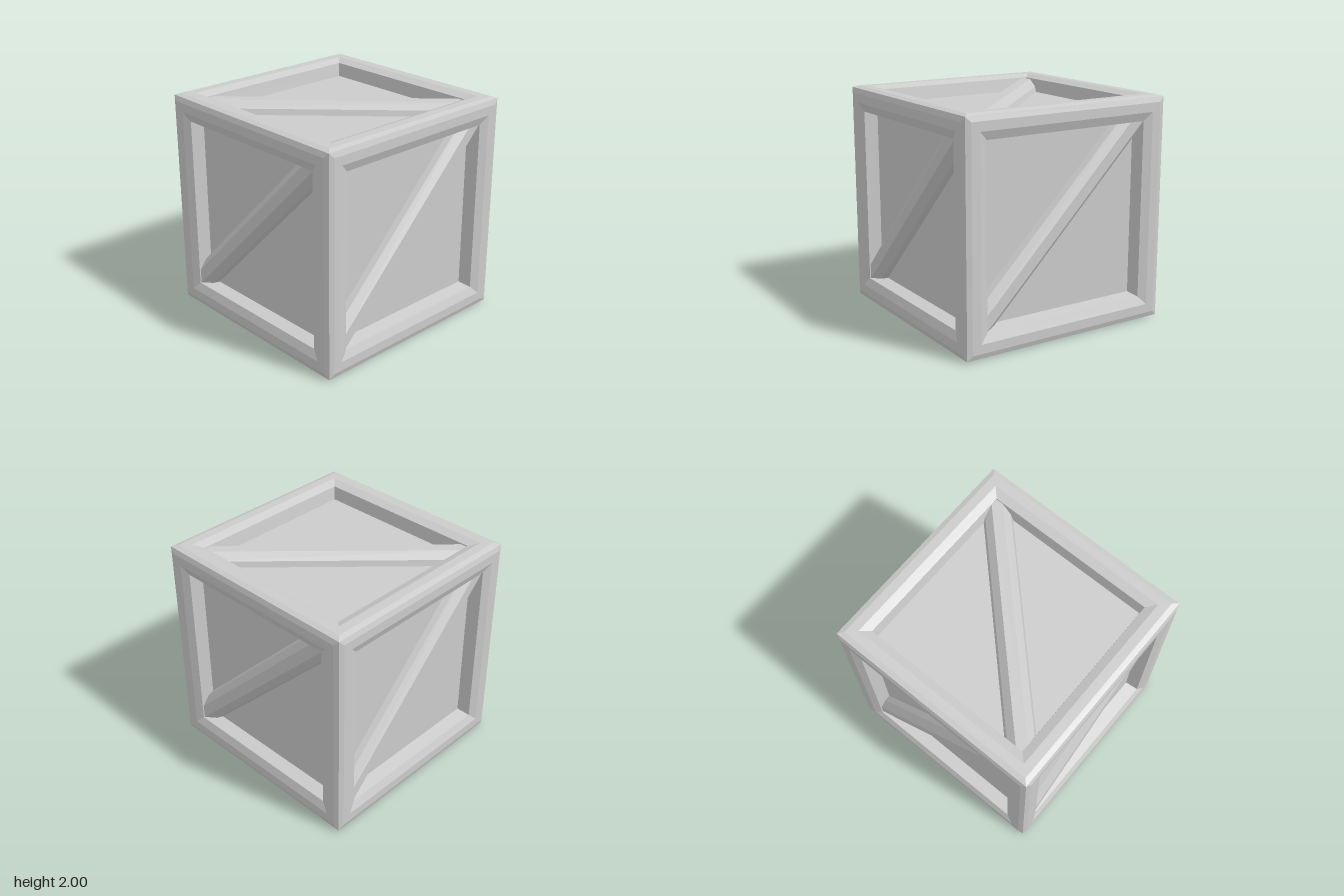
import * as THREE from 'three';

const material = new THREE.MeshStandardMaterial({ color: 0xcccccc, flatShading: true });

function part(name, geometry) {
  const mesh = new THREE.Mesh(geometry, material);
  mesh.name = name;
  return mesh;
}

// Square mitred frame for one face: a four-sided lathe of the rail profile,
// given as [half width, height above the cube's centre]
function frameGeometry() {
  const profile = [[0.985, 0.985], [0.94, 1], [0.86, 1], [0.785, 0.97], [0.765, 0.85]]
    .map(([r, h]) => new THREE.Vector2(r * Math.SQRT2, h));
  return new THREE.LatheGeometry(profile, 4, Math.PI / 4).rotateX(Math.PI / 2).toNonIndexed();
}

// Diagonal brace: a chamfered bar whose ends are buried in the frame
function braceGeometry(angle, offset) {
  const section = [[-0.13, 0.84], [0.13, 0.84], [0.11, 0.9], [0.047, 0.96], [-0.047, 0.96], [-0.11, 0.9]]
    .map(([u, h]) => new THREE.Vector2(u + offset, h));
  const length = 2.32;
  const turn = new THREE.Matrix4().makeBasis(
    new THREE.Vector3(0, 1, 0), new THREE.Vector3(0, 0, 1), new THREE.Vector3(1, 0, 0));
  return new THREE.ExtrudeGeometry(new THREE.Shape(section), { depth: length, bevelEnabled: false })
    .translate(0, 0, -length / 2)
    .applyMatrix4(turn)
    .rotateZ(angle);
}

export function createModel() {
  const crate = new THREE.Group();
  crate.name = 'crate';

  const frame = frameGeometry();
  const panel = new THREE.PlaneGeometry(1.53, 1.53).translate(0, 0, 0.85);
  const sideBrace = braceGeometry(Math.PI / 4, 0.045);
  const capBrace = braceGeometry(-Math.PI / 4, 0);

  // Each face is built facing +z and turned into place
  const q = Math.PI / 2;
  const faces = [
    ['front', 0, 0, sideBrace],
    ['left', 0, q, sideBrace],
    ['back', 0, 2 * q, sideBrace],
    ['right', 0, -q, sideBrace],
    ['top', -q, 0, capBrace],
    ['bottom', q, 0, capBrace],
  ];
  for (const [name, rx, ry, brace] of faces) {
    const face = new THREE.Group();
    face.name = name + 'Face';
    face.add(part(name + 'Frame', frame), part(name + 'Panel', panel), part(name + 'Brace', brace));
    face.rotation.set(rx, ry, 0);
    face.position.y = 1;
    crate.add(face);
  }
  return crate;
}
